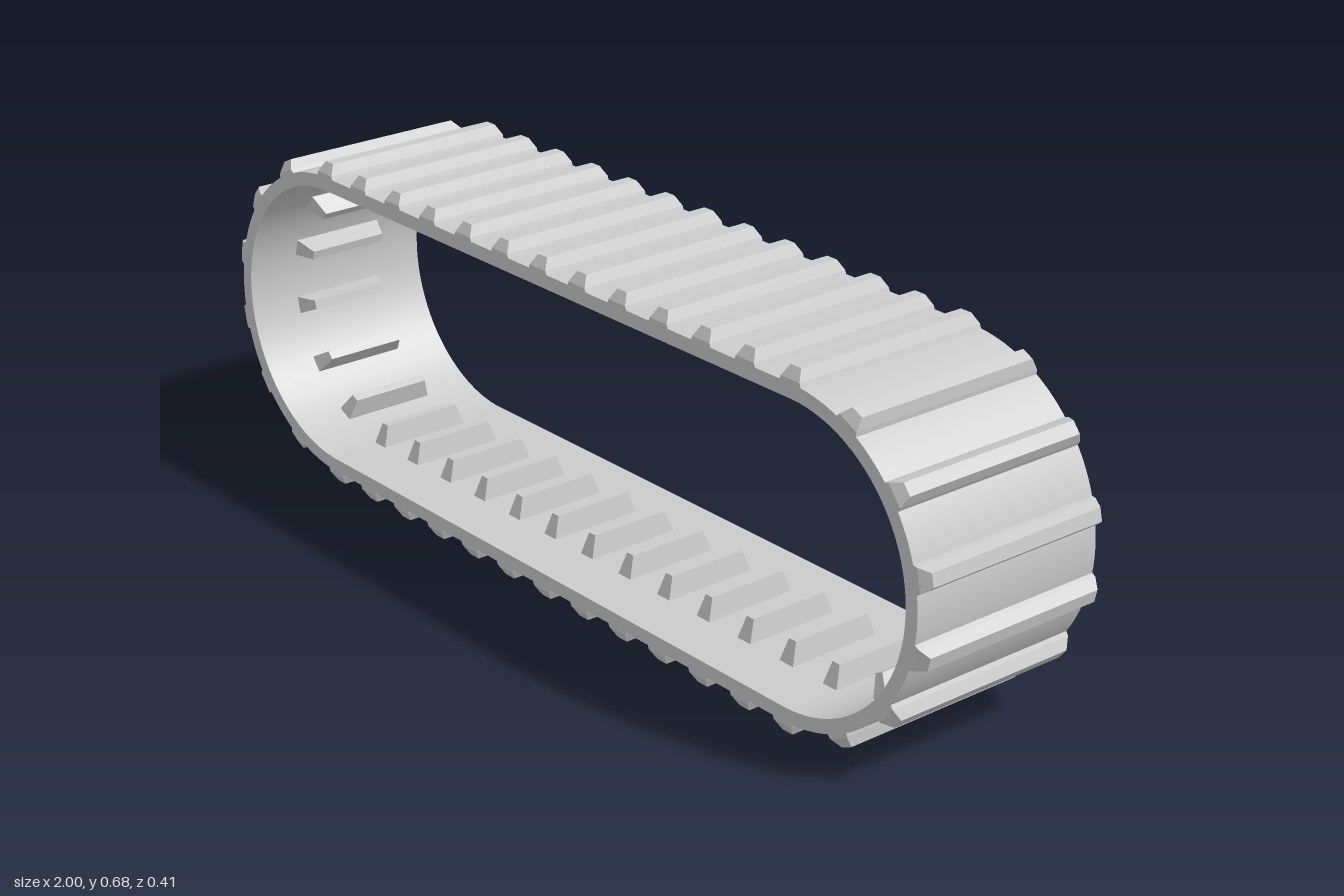
import * as THREE from 'three';
import { toCreasedNormals } from 'three/addons/utils/BufferGeometryUtils.js';

const HALF = 0.667;      // half length of the straight runs
const MID = 0.338;       // height of the loop's axis
const OUTER = 0.311, INNER = 0.284;
const DEPTH = 0.207;     // half width of the belt
const STRAIGHT = 12, ARC = 7; // link steps per run and per end

const material = new THREE.MeshStandardMaterial({ color: 0xcccccc });

// Traces a rounded loop of the given radius
function loop(path, r) {
  path.moveTo(-HALF, -r);
  path.lineTo(HALF, -r);
  path.absarc(HALF, 0, r, -Math.PI / 2, Math.PI / 2, false);
  path.lineTo(-HALF, r);
  path.absarc(-HALF, 0, r, Math.PI / 2, Math.PI * 1.5, false);
  return path;
}

// Solid through rectangular levels [y, half width, half depth], rising in y
function taperedBar(levels) {
  const pos = [], idx = [];
  for (const [y, w, d] of levels) pos.push(-w, y, d, w, y, d, w, y, -d, -w, y, -d);
  for (let l = 0; l < levels.length - 1; l++) {
    for (let i = 0; i < 4; i++) {
      const a = l * 4 + i, b = l * 4 + (i + 1) % 4;
      idx.push(a, b, b + 4, a, b + 4, a + 4);
    }
  }
  const t = (levels.length - 1) * 4;
  idx.push(0, 2, 1, 0, 3, 2, t, t + 1, t + 2, t, t + 2, t + 3);
  const g = new THREE.BufferGeometry();
  g.setAttribute('position', new THREE.Float32BufferAttribute(pos, 3));
  g.setIndex(idx);
  const flat = g.toNonIndexed();
  flat.computeVertexNormals();
  return flat;
}

export function createModel() {
  const model = new THREE.Group();
  model.name = 'crawlerTrack';

  // Smooth belt
  const shape = loop(new THREE.Shape(), OUTER);
  shape.holes.push(loop(new THREE.Path(), INNER));
  const beltGeo = new THREE.ExtrudeGeometry(shape, {
    depth: DEPTH * 2, bevelEnabled: false, curveSegments: 42,
  });
  beltGeo.translate(0, MID, -DEPTH);
  const belt = new THREE.Mesh(toCreasedNormals(beltGeo, 0.5), material);
  belt.name = 'belt';
  model.add(belt);

  // Outer tread bar with chamfered ends, and inner guide tooth
  const treadGeo = taperedBar([
    [0.306, 0.027, DEPTH], [0.318, 0.0225, DEPTH], [0.338, 0.0125, 0.195],
  ]);
  const toothGeo = taperedBar([
    [0.242, 0.009, 0.085], [0.288, 0.018, 0.1],
  ]);

  // A link's local +y points outward from the loop
  function addLink(x, angle) {
    const link = new THREE.Group();
    link.name = 'link';
    const tread = new THREE.Mesh(treadGeo, material);
    tread.name = 'treadBar';
    const tooth = new THREE.Mesh(toothGeo, material);
    tooth.name = 'guideTooth';
    link.add(tread, tooth);
    link.position.set(x, MID, 0);
    link.rotation.z = angle;
    model.add(link);
  }

  // Links on the top and bottom runs
  for (let i = 0; i <= STRAIGHT; i++) {
    const x = -HALF + (2 * HALF * i) / STRAIGHT;
    addLink(x, 0);
    addLink(x, Math.PI);
  }
  // Links around both ends
  for (let i = 1; i < ARC; i++) {
    const a = (Math.PI * i) / ARC;
    addLink(HALF, -a);
    addLink(-HALF, a);
  }
  return model;
}
